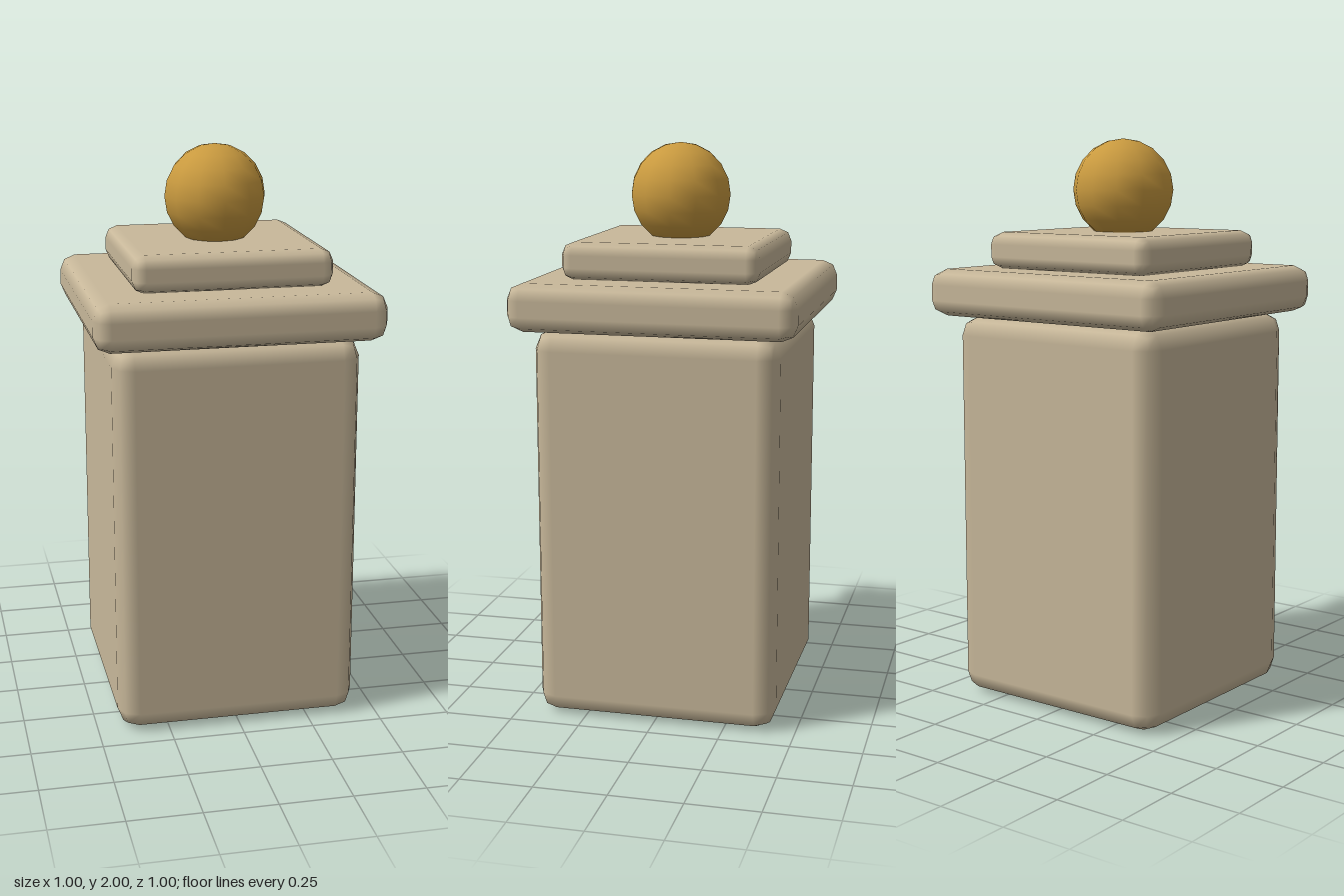
import * as THREE from 'three';
import { RoundedBoxGeometry } from 'three/addons/geometries/RoundedBoxGeometry.js';

export function createModel() {
  const group = new THREE.Group();
  group.name = 'gatePost';

  const stone = new THREE.MeshStandardMaterial({ color: 0xc8b89a });
  stone.name = 'sandstone';
  const gold = new THREE.MeshStandardMaterial({ color: 0xc99a3f });
  gold.name = 'gold';

  // Square stone block with softened edges, from y0 to y1
  function block(name, width, y0, y1, radius) {
    const mesh = new THREE.Mesh(new RoundedBoxGeometry(width, y1 - y0, width, 1, radius), stone);
    mesh.name = name;
    mesh.position.y = (y0 + y1) / 2;
    group.add(mesh);
  }

  block('pillar', 0.855, 0, 1.382, 0.07);
  block('capSlab', 0.995, 1.382, 1.547, 0.055);
  block('upperSlab', 0.69, 1.545, 1.675, 0.043);

  // Ball finial
  const ball = new THREE.Mesh(new THREE.SphereGeometry(0.179, 12, 10), gold);
  ball.name = 'ballFinial';
  ball.position.y = 1.821;
  group.add(ball);

  return group;
}
